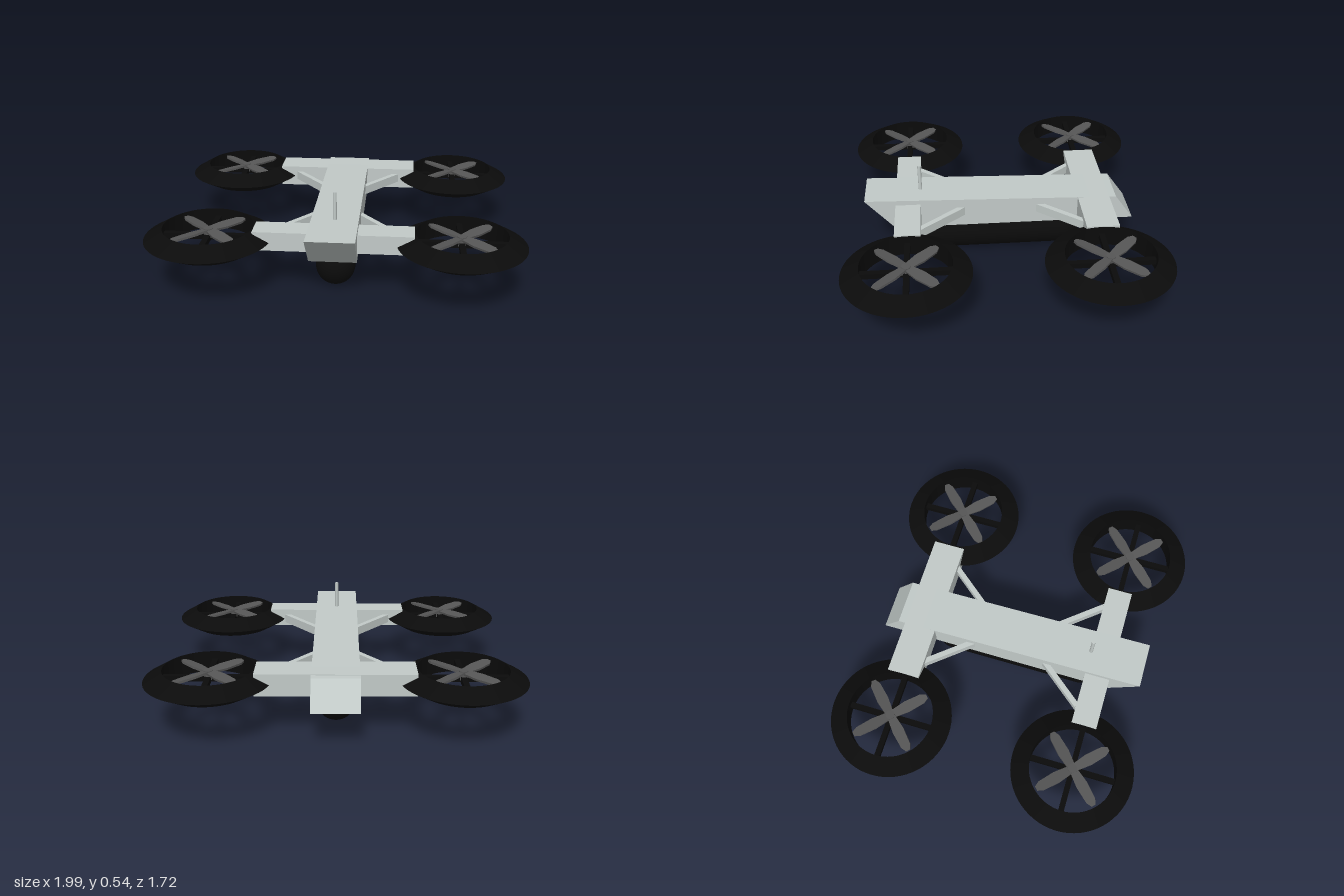
import * as THREE from 'three';
import { toCreasedNormals } from 'three/addons/utils/BufferGeometryUtils.js';

export function createModel() {
  const model = new THREE.Group();
  model.name = 'quadRotorDrone';
  const hull = new THREE.MeshStandardMaterial({ name: 'paleGrey', color: 0xc2cac8 });
  const black = new THREE.MeshStandardMaterial({ name: 'black', color: 0x0b0b0b });
  const grey = new THREE.MeshStandardMaterial({ name: 'bladeGrey', color: 0x565656 });

  const add = (parent, name, geometry, material, x = 0, y = 0, z = 0) => {
    const mesh = new THREE.Mesh(geometry, material);
    mesh.name = name;
    mesh.position.set(x, y, z);
    parent.add(mesh);
    return mesh;
  };

  // Fuselage: side profile (z, y) extruded across the width
  const profile = new THREE.Shape([
    [0.6, 0.213], [0.76, 0.396], [-0.66, 0.358], [-0.765, 0.213],
  ].map(([z, y]) => new THREE.Vector2(z, y)));
  const body = new THREE.ExtrudeGeometry(profile, { depth: 0.252, bevelEnabled: false });
  body.rotateY(-Math.PI / 2).translate(0.126, 0, 0);
  add(model, 'fuselage', body, hull);

  // Cross arms carrying the rotors
  add(model, 'frontArm', new THREE.BoxGeometry(0.836, 0.102, 0.14), hull, 0, 0.311, 0.52);
  add(model, 'rearArm', new THREE.BoxGeometry(0.836, 0.12, 0.18), hull, 0, 0.302, -0.53);

  // Slung tank and antenna
  const tank = new THREE.CapsuleGeometry(0.107, 0.78, 12, 40).rotateX(Math.PI / 2);
  add(model, 'tank', tank, black, 0, 0.107, 0.02);
  add(model, 'antenna', new THREE.CylinderGeometry(0.01, 0.01, 0.16, 12), hull, 0, 0.461, 0.45);

  // Shared rotor geometries
  const ring = toCreasedNormals(
    new THREE.TorusGeometry(0.2703, 0.0667, 3, 64).rotateX(Math.PI / 2), 0.5);
  const spoke = new THREE.BoxGeometry(0.49, 0.03, 0.03);
  const bladeShape = new THREE.Shape([
    [0.225, -0.012], [0.225, 0.012], [0.195, 0.027], [0.1, 0.032], [0, 0.02],
    [0, -0.02], [0.1, -0.032], [0.195, -0.027],
  ].map(([x, y]) => new THREE.Vector2(x, y)));
  const blade = new THREE.ExtrudeGeometry(bladeShape, { depth: 0.012, bevelEnabled: false });
  blade.translate(0, 0, -0.006).rotateX(-Math.PI / 2).rotateX(0.15);
  const hub = new THREE.CylinderGeometry(0.025, 0.025, 0.05, 16);

  for (const sx of [-1, 1]) {
    for (const sz of [-1, 1]) {
      const side = (sz > 0 ? 'front' : 'rear') + (sx > 0 ? 'Left' : 'Right');

      // Ducted rotor: ring, cross spokes, hub and four blades
      const rotor = new THREE.Group();
      rotor.name = side + 'Rotor';
      rotor.position.set(sx * 0.66, 0.3025, sz * 0.522);
      model.add(rotor);
      add(rotor, 'ductRing', ring, black);
      add(rotor, 'spokeAcross', spoke, black);
      add(rotor, 'spokeAlong', spoke, black).rotation.y = Math.PI / 2;
      add(rotor, 'hub', hub, grey, 0, 0.02, 0);
      for (let i = 0; i < 4; i++) {
        add(rotor, 'blade', blade, grey, 0, 0.035, 0).rotation.y = Math.PI * (0.25 + i / 2);
      }

      // Diagonal brace from fuselage to arm
      const dx = 0.22, dz = 0.27;
      const brace = add(model, side + 'Brace',
        new THREE.BoxGeometry(Math.hypot(dx, dz), 0.05, 0.03), hull,
        sx * 0.215, 0.305, sz * 0.335);
      brace.rotation.y = -Math.atan2(sz * dz, sx * dx);
    }
  }
  return model;
}
